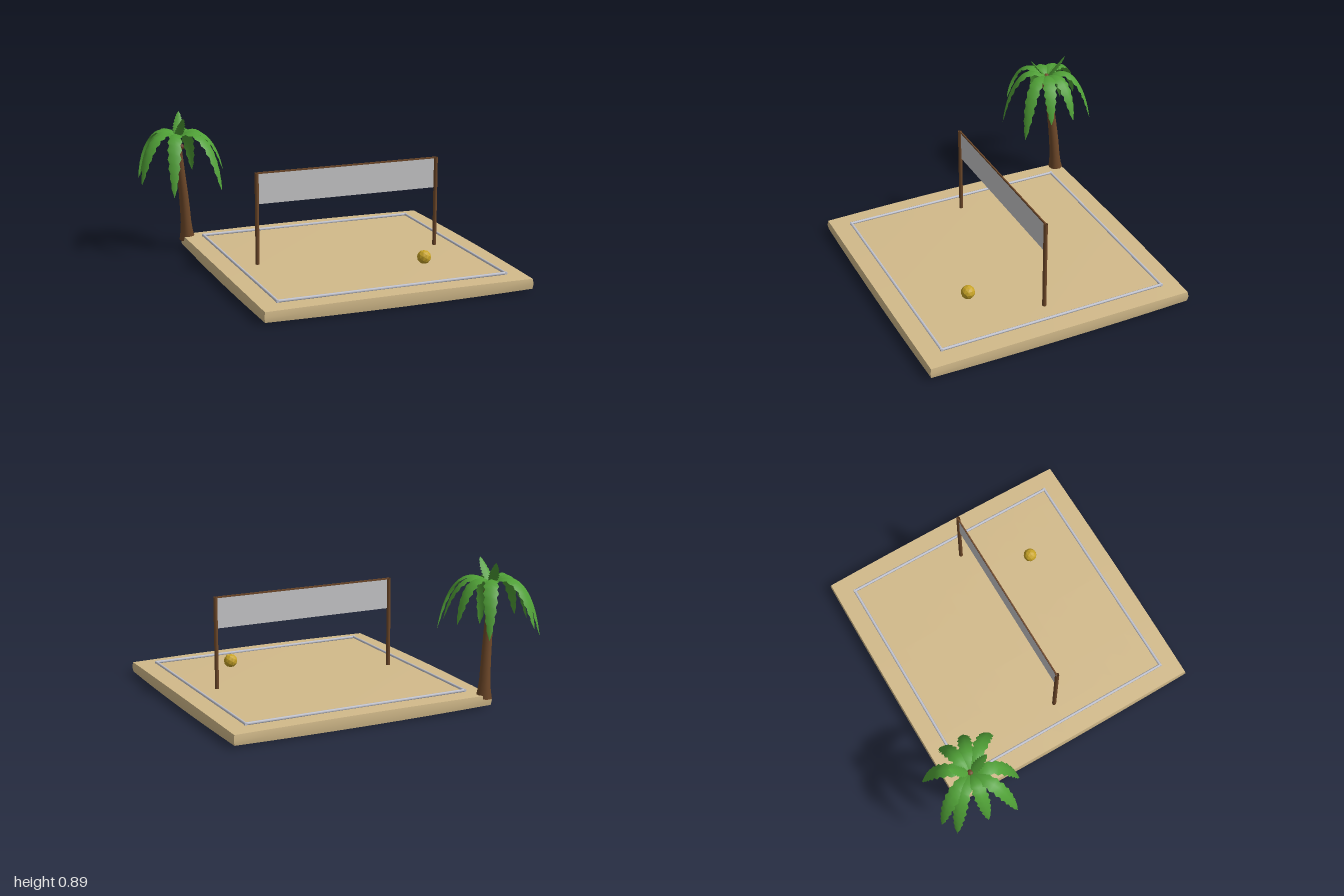
import * as THREE from 'three';

const mat = (name, color, extra = {}) => new THREE.MeshStandardMaterial({ name, color, ...extra });

export function createModel() {
  const model = new THREE.Group();
  const sand = mat('sand', 0xd2ba8a);
  const wood = mat('wood', 0x6e4829, { side: THREE.DoubleSide });
  const netGrey = mat('net grey', 0xc8c8ca, { side: THREE.DoubleSide });
  const lineGrey = mat('line grey', 0xc6c8d4);
  const yellow = mat('ball yellow', 0xc8a428, { flatShading: true });
  const green = mat('leaf green', 0x4f9f36, { side: THREE.DoubleSide });
  const coconutBrown = mat('coconut brown', 0x5c3622);

  const add = (name, geometry, material, x = 0, y = 0, z = 0, parent = model) => {
    const mesh = new THREE.Mesh(geometry, material);
    mesh.name = name;
    mesh.position.set(x, y, z);
    parent.add(mesh);
    return mesh;
  };

  // Court centre
  const CX = 0.15, CZ = 0.087;

  // Sand slab, gently bulged on every side
  const slab = new THREE.BoxGeometry(1.67, 0.062, 1.67, 8, 2, 8);
  const p = slab.attributes.position;
  for (let i = 0; i < p.count; i++) {
    const u = p.getX(i) / 0.835, v = p.getY(i) / 0.031, w = p.getZ(i) / 0.835;
    const bulge = (a, b) => 1 - 0.5 * (a * a + b * b);
    p.setXYZ(i,
      u * (0.835 + 0.01 * bulge(v, w)),
      v * (0.031 + 0.013 * bulge(u, w)),
      w * (0.835 + 0.01 * bulge(v, u)));
  }
  slab.computeVertexNormals();
  add('sandSlab', slab, sand, CX, 0.044, CZ);

  // Boundary line of four thin rods
  const half = 0.719;
  for (const s of [-1, 1]) {
    const along = new THREE.CylinderGeometry(0.009, 0.009, 2 * half + 0.016, 6);
    add('boundarySide', along.clone().rotateX(Math.PI / 2), lineGrey, CX - 0.002 + s * half, 0.089, CZ - 0.001);
    add('boundaryEnd', along.clone().rotateZ(Math.PI / 2), lineGrey, CX - 0.002, 0.089, CZ - 0.001 + s * half);
  }

  // Net and posts
  for (const x of [-0.445, 0.74]) {
    add('netPost', new THREE.CylinderGeometry(0.013, 0.013, 0.59, 8, 1, true), wood, x, 0.36, 0.09);
  }
  add('net', new THREE.PlaneGeometry(1.185, 0.19), netGrey, 0.1475, 0.555, 0.088);
  add('netTopRope', new THREE.BoxGeometry(1.185, 0.01, 0.008), wood, 0.1475, 0.652, 0.088);

  // Ball
  add('ball', new THREE.IcosahedronGeometry(0.043, 1), yellow, 0.49, 0.136, 0.469);

  // Palm trunk: a bent tube tapered ring by ring
  const palm = new THREE.Group();
  palm.name = 'palmTree';
  model.add(palm);
  const path = new THREE.CatmullRomCurve3([
    new THREE.Vector3(-0.657, 0.052, -0.712), new THREE.Vector3(-0.674, 0.3, -0.702),
    new THREE.Vector3(-0.698, 0.52, -0.685), new THREE.Vector3(-0.723, 0.745, -0.666)]);
  const RINGS = 12, SIDES = 10;
  const trunk = new THREE.TubeGeometry(path, RINGS, 1, SIDES);
  const tp = trunk.attributes.position, q = new THREE.Vector3();
  for (let i = 0; i < tp.count; i++) {
    const t = Math.floor(i / (SIDES + 1)) / RINGS;
    const c = path.getPointAt(t);
    const r = 0.037 - 0.016 * t + 0.014 * Math.max(0, 1 - t * 8);
    q.fromBufferAttribute(tp, i).sub(c).multiplyScalar(r).add(c);
    tp.setXYZ(i, q.x, q.y, q.z);
  }
  add('trunk', trunk, wood, 0, 0, 0, palm);
  add('trunkBase', new THREE.CircleGeometry(0.051, SIDES).rotateX(Math.PI / 2), wood, -0.657, 0.052, -0.712, palm);
  add('trunkTop', new THREE.SphereGeometry(0.021, 10, 6), wood, -0.723, 0.742, -0.666, palm);

  // Coconuts
  for (const [x, y, z] of [[-0.722, 0.72, -0.645], [-0.738, 0.683, -0.652], [-0.705, 0.683, -0.645]]) {
    add('coconut', new THREE.SphereGeometry(0.022, 10, 8), coconutBrown, x, y, z, palm);
  }

  // Frond: a saw-edged strip folded along its rib and swept along a curve
  const crown = new THREE.Vector3(-0.723, 0.745, -0.667);
  const frond = (dx, tipY, dz, upright) => {
    const d = new THREE.Vector3(dx, 0, dz);
    const at = (k, y) => crown.clone().addScaledVector(d, k).setY(y);
    const curve = upright
      ? new THREE.CubicBezierCurve3(at(0, 0.74), at(0.3, 0.79), at(0.65, 0.84), at(1, tipY))
      : new THREE.CubicBezierCurve3(at(0, 0.74), at(0.42, 0.85), at(0.86, 0.76), at(1, tipY));
    const side = new THREE.Vector3(-dz, 0, dx).normalize();
    const N = 18, pos = [], idx = [];
    for (let i = 0; i <= N; i++) {
      const t = i / N, c = curve.getPointAt(t);
      const normal = side.clone().cross(curve.getTangentAt(t));
      if (normal.y < 0) normal.negate();
      const w = 0.044 * Math.pow(Math.sin(Math.PI * Math.pow(0.05 + 0.95 * t, 0.8)), 0.7)
        * (i % 2 ? 0.8 : 1.06) * (upright ? 0.75 : 1);
      for (const s of [-1, 0, 1]) {
        const v = c.clone().addScaledVector(side, s * (w || 0)).addScaledVector(normal, -Math.abs(s) * (w || 0) * 0.35);
        pos.push(v.x, v.y, v.z);
      }
      if (i < N) {
        for (const k of [0, 1]) {
          const a = i * 3 + k;
          idx.push(a, a + 1, a + 3, a + 1, a + 4, a + 3);
        }
      }
    }
    const g = new THREE.BufferGeometry();
    g.setAttribute('position', new THREE.Float32BufferAttribute(pos, 3));
    g.setIndex(idx);
    g.computeVertexNormals();
    add('frond', g, green, 0, 0, 0, palm);
  };

  // Drooping fronds: tip offset x, tip height, tip offset z
  for (const [dx, y, dz] of [
    [-0.129, 0.5, -0.272], [-0.207, 0.44, -0.215], [-0.245, 0.5, -0.02],
    [-0.277, 0.485, 0.158], [-0.1, 0.415, 0.275], [0.215, 0.43, 0.262],
    [0.273, 0.53, -0.06], [0.165, 0.46, -0.242], [0.272, 0.53, 0.1],
  ]) frond(dx, y, dz, false);

  // Young upright fronds
  frond(0.045, 0.89, -0.11, true);
  frond(0.01, 0.885, 0.12, true);

  return model;
}
